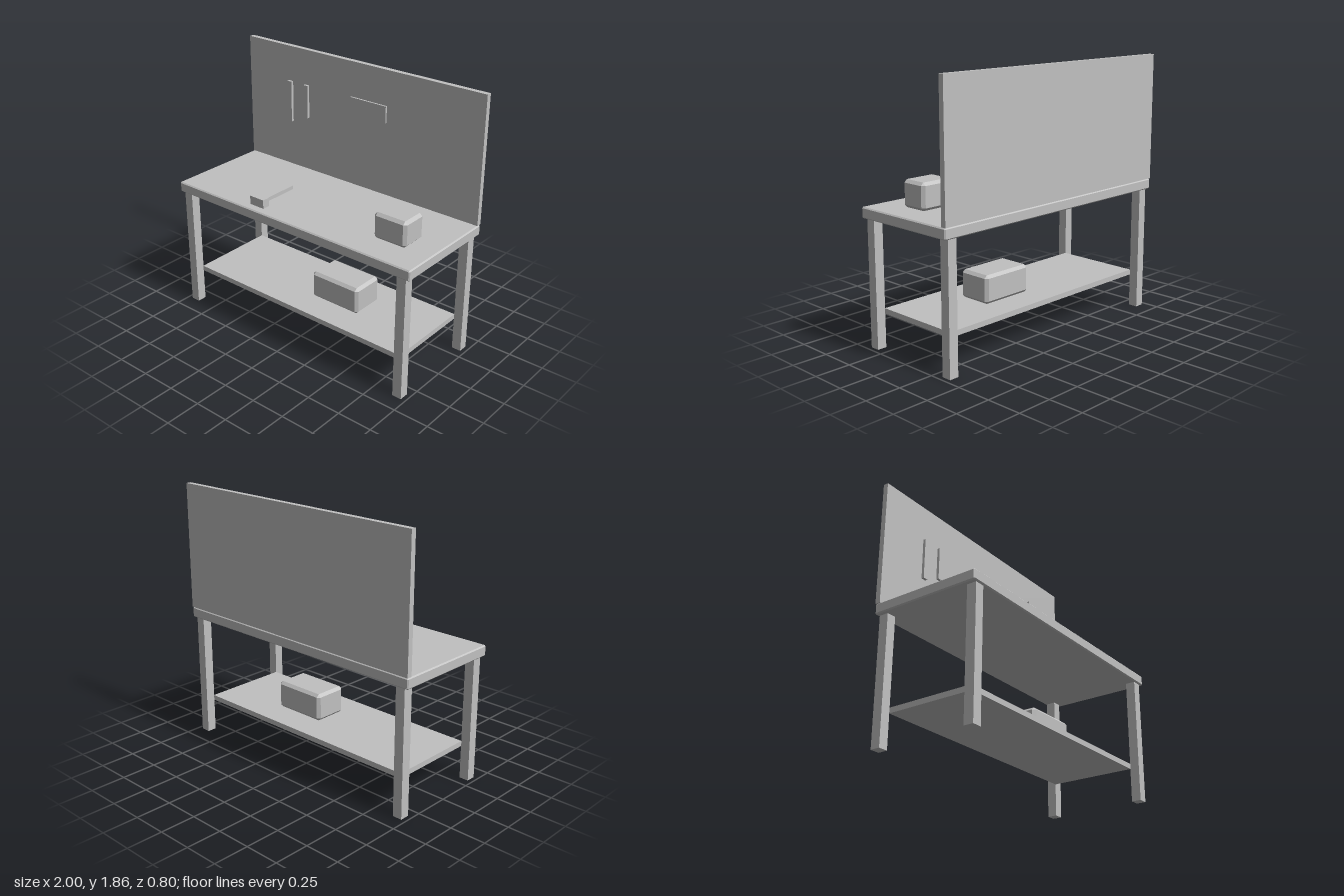
import * as THREE from 'three';
import { ConvexGeometry } from 'three/addons/geometries/ConvexGeometry.js';

// Box with a single flat chamfer on every edge
function chamferedBox(w, h, d, c) {
  const half = [w / 2, h / 2, d / 2];
  const points = [];
  for (const sx of [-1, 1]) for (const sy of [-1, 1]) for (const sz of [-1, 1]) {
    for (let axis = 0; axis < 3; axis++) {
      const p = half.map((v, i) => (i === axis ? v : v - c));
      points.push(new THREE.Vector3(p[0] * sx, p[1] * sy, p[2] * sz));
    }
  }
  return new ConvexGeometry(points);
}

export function createModel() {
  const group = new THREE.Group();
  group.name = 'workbench';
  const grey = new THREE.MeshStandardMaterial({ color: 0xc0c0c0 });
  grey.name = 'light grey';

  // Adds a box from its minimum and maximum corners, chamfered if asked
  function addBox(name, [x0, y0, z0], [x1, y1, z1], chamfer = 0, parent = group) {
    const w = x1 - x0, h = y1 - y0, d = z1 - z0;
    const geometry = chamfer ? chamferedBox(w, h, d, chamfer) : new THREE.BoxGeometry(w, h, d);
    const mesh = new THREE.Mesh(geometry, grey);
    mesh.name = name;
    mesh.position.set((x0 + x1) / 2, (y0 + y1) / 2, (z0 + z1) / 2);
    parent.add(mesh);
  }

  // Bench frame
  addBox('tabletop', [-1, 0.885, -0.398], [1, 0.96, 0.398], 0.008);
  addBox('shelf', [-0.9, 0.235, -0.318], [0.9, 0.272, 0.318]);
  for (const [sx, side] of [[1, 'left'], [-1, 'right']]) {
    for (const [sz, end] of [[1, 'Front'], [-1, 'Back']]) {
      const x = sx * 0.933, z = sz * 0.351;
      addBox(`${side}${end}Leg`, [x - 0.034, 0, z - 0.034], [x + 0.034, 0.886, z + 0.034]);
    }
  }

  // Tool board and hanging tools
  addBox('toolBoard', [-0.998, 0.962, -0.4], [0.998, 1.86, -0.363]);
  addBox('longHangingTool', [-0.622, 1.303, -0.363], [-0.584, 1.605, -0.343]);
  addBox('shortHangingTool', [-0.472, 1.363, -0.363], [-0.434, 1.605, -0.343]);
  addBox('hangingPlate', [-0.053, 1.49, -0.363], [0.247, 1.61, -0.35]);

  // Hammer lying on the tabletop
  const hammer = new THREE.Group();
  hammer.name = 'hammer';
  addBox('hammerHead', [-0.364, 0.96, 0.282], [-0.244, 1.022, 0.338], 0, hammer);
  addBox('hammerHandle', [-0.323, 0.97, -0.01], [-0.285, 0.997, 0.282], 0, hammer);
  group.add(hammer);

  // Chamfered boxes on the tabletop and shelf
  addBox('tabletopBox', [0.573, 0.96, 0], [0.822, 1.143, 0.198], 0.02);
  addBox('shelfBox', [0, 0.272, -0.124], [0.398, 0.47, 0.124], 0.02);

  return group;
}
